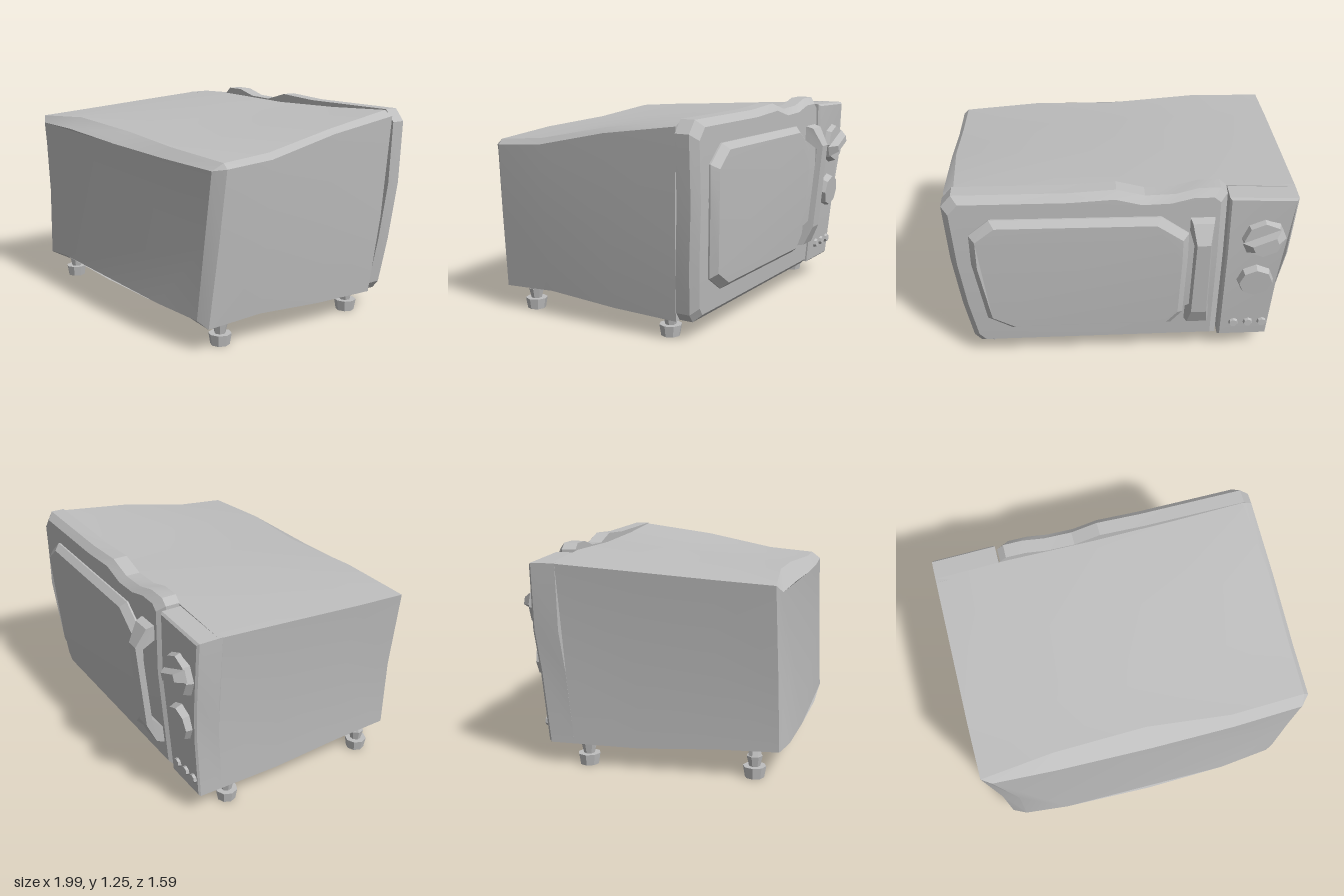
import * as THREE from 'three';
import { toCreasedNormals } from 'three/addons/utils/BufferGeometryUtils.js';

const grey = new THREE.MeshStandardMaterial({ color: 0xbebebe });
grey.name = 'grey';

// Skins rings of [x, y, z] (counter-clockwise seen from +z, ordered from +z to -z) and caps both ends
function loft(rings, crease = 0.45) {
  const pos = [];
  const tri = (a, b, c) => pos.push(...a, ...b, ...c);
  for (let r = 0; r < rings.length - 1; r++) {
    const A = rings[r], B = rings[r + 1], n = A.length;
    for (let i = 0; i < n; i++) {
      const j = (i + 1) % n;
      tri(A[i], B[i], A[j]);
      tri(A[j], B[i], B[j]);
    }
  }
  const cap = (ring, sign) => {
    const pts = ring.map(p => new THREE.Vector2(p[0], p[1]));
    for (const [a, b, c] of THREE.ShapeUtils.triangulateShape(pts, [])) {
      const area = THREE.ShapeUtils.area([pts[a], pts[b], pts[c]]);
      if (area * sign > 0) tri(ring[a], ring[b], ring[c]);
      else tri(ring[a], ring[c], ring[b]);
    }
  };
  cap(rings[0], 1);
  cap(rings[rings.length - 1], -1);
  const g = new THREE.BufferGeometry();
  g.setAttribute('position', new THREE.Float32BufferAttribute(pos, 3));
  return toCreasedNormals(g, crease);
}

// The door side bends inward below y = 0.8
const lean = y => Math.max(0, 0.8 - y) * 0.085;

// Insets an outline towards its centre by about d and lays it on the leaning front at depth z
function layer(outline, z, d = 0) {
  const xs = outline.map(p => p[0]), ys = outline.map(p => p[1]);
  const x0 = Math.min(...xs), x1 = Math.max(...xs), y0 = Math.min(...ys), y1 = Math.max(...ys);
  const cx = (x0 + x1) / 2, cy = (y0 + y1) / 2;
  const sx = 1 - 2 * d / (x1 - x0), sy = 1 - 2 * d / (y1 - y0);
  return outline.map(([x, y]) => {
    const Y = cy + (y - cy) * sy;
    return [cx + (x - cx) * sx, Y, z + lean(Y)];
  });
}

// One cross-section of the casing: bottom row, right side, top row, left side
function casingRing({ left, right, bottom, top, zb, zt, bevel }) {
  const cols = [-0.55, 0, 0.5];
  const z = (v, i) => (Array.isArray(v) ? v[i] : v);
  const row = (lx, rx, ys, zs) => [lx, ...cols, rx].map((x, i) => [x, ys[i], z(zs, i)]);
  const mid = i => z(zb, i) * 0.5 + z(zt, i) * 0.5;
  return [
    ...row(left[0], right[0], bottom, zb),
    [right[1], 0.6, mid(4)],
    [bevel[0], bevel[1], z(zt, 4)],
    ...row(left[2], right[2], top, zt).reverse(),
    [left[1], 0.6, mid(0)],
  ];
}

export function createModel() {
  const group = new THREE.Group();
  const add = (name, geometry, parent = group) => {
    const m = new THREE.Mesh(geometry, grey);
    m.name = name;
    parent.add(m);
    return m;
  };

  // Casing: bulging bevelled rear wall, top rising towards the door
  const side = { left: [-0.9, -0.92, -0.99], right: [0.9, 0.955, 0.96] };
  add('casing', loft([
    { left: [-0.82, -0.82, -0.93], right: [0.83, 0.88, 0.93], bevel: [0.925, 0.98],
      bottom: [0.2, 0.235, 0.215, 0.2, 0.18], top: [1.06, 1.065, 1.04, 1.025, 1.015],
      zb: [0.745, 0.78, 0.79, 0.775, 0.735], zt: [0.71, 0.73, 0.735, 0.73, 0.71] },
    { left: [-0.9, -0.92, -0.985], right: [0.89, 0.945, 0.955], bevel: [0.985, 1.025],
      bottom: [0.17, 0.15, 0.135, 0.125, 0.14], top: [1.1, 1.13, 1.1, 1.08, 1.055],
      zb: [0.7, 0.64, 0.63, 0.63, 0.7], zt: [0.68, 0.64, 0.62, 0.67, 0.65] },
    { ...side, bevel: [0.99, 1.045], bottom: [0.16, 0.15, 0.14, 0.13, 0.16],
      top: [1.12, 1.14, 1.115, 1.1, 1.08], zb: 0.35, zt: 0.35 },
    { ...side, bevel: [0.99, 1.14], bottom: [0.13, 0.135, 0.13, 0.125, 0.13],
      top: [1.15, 1.175, 1.165, 1.165, 1.17], zb: -0.1, zt: -0.1 },
    { ...side, right: [0.9, 0.955, 0.93], bevel: [0.99, 1.205], bottom: [0.13, 0.13, 0.125, 0.12, 0.12],
      top: [1.18, 1.205, 1.195, 1.21, 1.235], zb: -0.51, zt: -0.565 },
  ].map(casingRing), 0.35));

  // Control panel beside the door
  const panel = [[-0.9, 0.13], [-0.6, 0.13], [-0.6, 0.45], [-0.6, 0.8], [-0.6, 1.195],
    [-0.99, 1.18], [-0.96, 0.8], [-0.92, 0.55]];
  add('controlPanel', loft([layer(panel, -0.54), layer(panel, -0.68), layer(panel, -0.692, 0.012)], 0.3));

  // Door with a wavy top edge and a bevelled rim
  const door = [[-0.59, 0.12], [0.1, 0.12], [0.86, 0.12], [0.9, 0.17], [0.945, 0.45], [0.98, 0.8],
    [1, 1.17], [0.94, 1.24], [0.3, 1.235], [0.03, 1.25], [-0.13, 1.205], [-0.3, 1.21],
    [-0.43, 1.245], [-0.55, 1.245], [-0.59, 1.21], [-0.59, 0.8], [-0.59, 0.45]];
  add('door', loft([layer(door, -0.565), layer(door, -0.65), layer(door, -0.69, 0.04)], 0.3));

  // Raised window with clipped corners
  const pane = [[-0.3, 0.27], [0.66, 0.27], [0.8, 0.36], [0.86, 0.8], [0.86, 1.0],
    [0.74, 1.1], [-0.22, 1.09], [-0.38, 0.97], [-0.38, 0.8], [-0.37, 0.36]];
  add('doorWindow', loft([layer(pane, -0.66), layer(pane, -0.7), layer(pane, -0.737, 0.035)], 0.3));

  // Bowed door handle, wide at the door and narrow at the grip
  const bow = new THREE.Shape([[0.64, 0.29], [0.69, 0.3], [0.745, 0.42], [0.795, 0.95], [0.735, 1.06],
    [0.67, 1.08], [0.67, 1.0], [0.76, 0.93], [0.715, 0.46], [0.64, 0.38]]
    .map(([u, v]) => new THREE.Vector2(u, v)));
  const handle = new THREE.ExtrudeGeometry(bow, { depth: 1, bevelEnabled: false });
  handle.translate(0, 0, -0.5).rotateY(Math.PI / 2);
  const hp = handle.attributes.position;
  for (let i = 0; i < hp.count; i++) {
    const out = -hp.getZ(i) - lean(hp.getY(i)) * -1 - 0.69;
    hp.setX(i, -0.455 + hp.getX(i) * (0.15 - 0.7 * Math.max(0, out)));
  }
  add('doorHandle', toCreasedNormals(handle, 0.3));

  // Eight-sided knobs, the upper one with a grip ridge
  const disc = (r0, r1, h, sides) =>
    toCreasedNormals(new THREE.CylinderGeometry(r0, r1, h, sides).rotateX(-Math.PI / 2), 0.3);
  [['upperKnob', -0.81, 0.92, 0.135], ['lowerKnob', -0.79, 0.6, 0.115]].forEach(([name, x, y, r], i) => {
    const knob = new THREE.Group();
    knob.name = name;
    knob.position.set(x, y, -0.695 + lean(y));
    knob.rotation.x = y < 0.8 ? -0.085 : 0;
    group.add(knob);
    add('knobDisc', disc(r * 0.85, r, 0.06, 8), knob);
    if (i === 0) {
      const ridge = new THREE.CylinderGeometry(0.1, 0.17, 0.05, 4).rotateY(Math.PI / 4);
      ridge.scale(1, 1, 0.3).rotateX(-Math.PI / 2).rotateZ(-0.4);
      add('knobRidge', toCreasedNormals(ridge, 0.3), knob).position.z = -0.052;
    }
  });

  // Row of three small buttons
  [-0.69, -0.78, -0.865].forEach(x => {
    add('button', disc(0.025, 0.037, 0.04, 7)).position.set(x, 0.245, -0.69 + lean(0.245));
  });

  // Feet: flared pads under short crooked stems
  for (const x of [-0.84, 0.8]) for (const z of [0.555, -0.415]) {
    const foot = new THREE.Group();
    foot.name = 'foot';
    foot.position.set(x, 0, z);
    group.add(foot);
    add('footPad', toCreasedNormals(new THREE.CylinderGeometry(0.066, 0.055, 0.065, 8), 0.3), foot).position.y = 0.0325;
    const stem = add('footStem', toCreasedNormals(new THREE.CylinderGeometry(0.046, 0.032, 0.06, 7), 0.3), foot);
    stem.position.y = 0.095;
    const neck = add('footNeck', toCreasedNormals(new THREE.CylinderGeometry(0.03, 0.04, 0.1, 7), 0.3), foot);
    neck.position.set(0.01, 0.15, 0);
    neck.rotation.z = -0.25;
  }
  return group;
}
